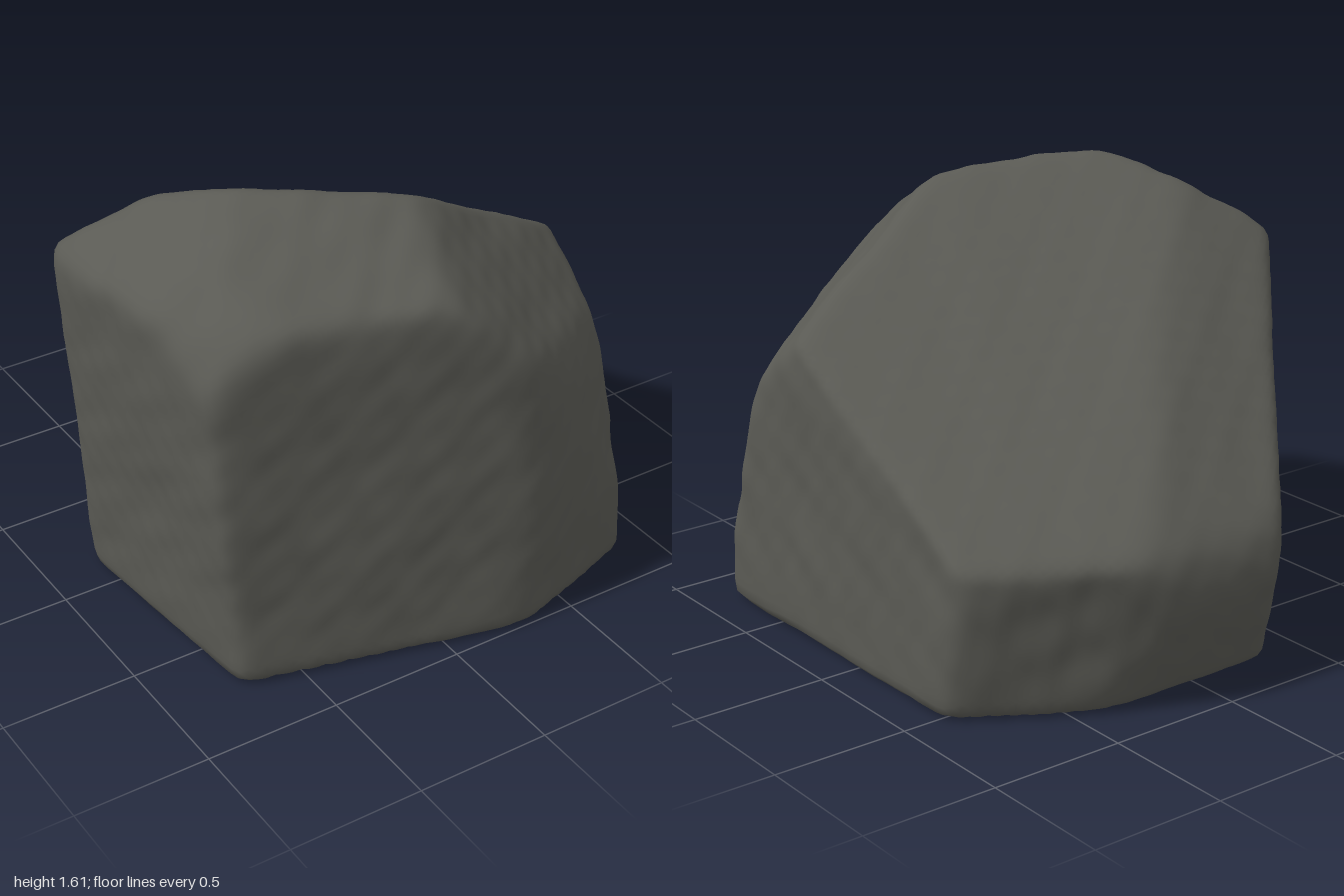
import * as THREE from 'three';
import { mergeVertices } from 'three/addons/utils/BufferGeometryUtils.js';

// Broken faces of the boulder: outward direction (x, y, z) and offset of its plane
const FACETS = [
  [0, -1, 0, 0],                    // flat base
  [1, 0, 0, 0.87],                  // right side
  [-1, -0.08, 0.09, 0.795],         // left side
  [-0.243, 0, 0.97, 0.91],          // front, left half
  [0.306, 0, 0.952, 1.055],         // front, right half
  [0.22, 0.268, 0.2, 0.553],        // front right bevel, upper part
  [0.355, 0.136, 0.417, 0.678],     // front right bevel, lower part
  [-0.1, 1, 0.45, 1.795],           // top, sloping to the front
  [-0.65, 1, 0, 1.92],              // top left shoulder
  [-0.7, 0.6, 0.4, 1.58],           // front left top corner
  [0.41, 1, -0.6, 1.3],             // back slope, leaning right
  [0, 1, -1, 1.54],                 // back slope, steeper part
  [0, 0.23, -1, 1.1],               // blunt back edge
  [-0.805, -0.06, -0.594, 0.74],    // back left side
  [0, -0.42, -0.91, 0.745],         // undercut at the back
  [0.507, -0.169, -0.845, 0.895],   // back right corner
];
const CENTRE = new THREE.Vector3(0, 0.7, 0);
const ROUNDNESS = 44;

// Distance from the centre to the softened facets along a direction
function radius(dir) {
  let sum = 0;
  for (const [x, y, z, d] of FACETS) {
    const along = x * dir.x + y * dir.y + z * dir.z;
    const reach = d - (x * CENTRE.x + y * CENTRE.y + z * CENTRE.z);
    if (along > 0) sum += (along / reach) ** ROUNDNESS;
  }
  return sum ** (-1 / ROUNDNESS);
}

// Gentle dents and chips of the weathered skin
function weathering({ x, y, z }) {
  const broad = Math.sin(5 * x + 3 * y + 1) * Math.sin(6 * y - 4 * z) * Math.sin(5 * z + 2 * x + 2);
  const fine = Math.sin(17 * x + 8 * z) * Math.sin(15 * y + 6 * x + 1) * Math.sin(16 * z - 7 * y);
  const chips = Math.sin(31 * x - 12 * y) * Math.sin(29 * y + 13 * z) * Math.sin(33 * z + 9 * x);
  return 0.01 * broad + 0.006 * fine + 0.003 * chips;
}

export function createModel() {
  const stone = new THREE.MeshStandardMaterial({ color: 0x5a5a54 });
  stone.name = 'dark grey stone';

  // A fine sphere pushed out to the facets
  let geometry = new THREE.IcosahedronGeometry(1, 44);
  geometry.deleteAttribute('uv');
  geometry.deleteAttribute('normal');
  geometry = mergeVertices(geometry, 1e-5);
  const position = geometry.attributes.position;
  const p = new THREE.Vector3();
  for (let i = 0; i < position.count; i++) {
    const dir = p.fromBufferAttribute(position, i).normalize();
    p.multiplyScalar(radius(dir)).add(CENTRE);
    const dent = weathering(p) * Math.min(1, 0.25 + p.y * 4);
    p.sub(CENTRE).multiplyScalar(1 + dent).add(CENTRE);
    position.setXYZ(i, p.x, Math.max(0, p.y), p.z);
  }
  geometry.computeVertexNormals();

  const boulder = new THREE.Mesh(geometry, stone);
  boulder.name = 'boulder';
  const group = new THREE.Group();
  group.name = 'rock';
  group.add(boulder);
  return group;
}
